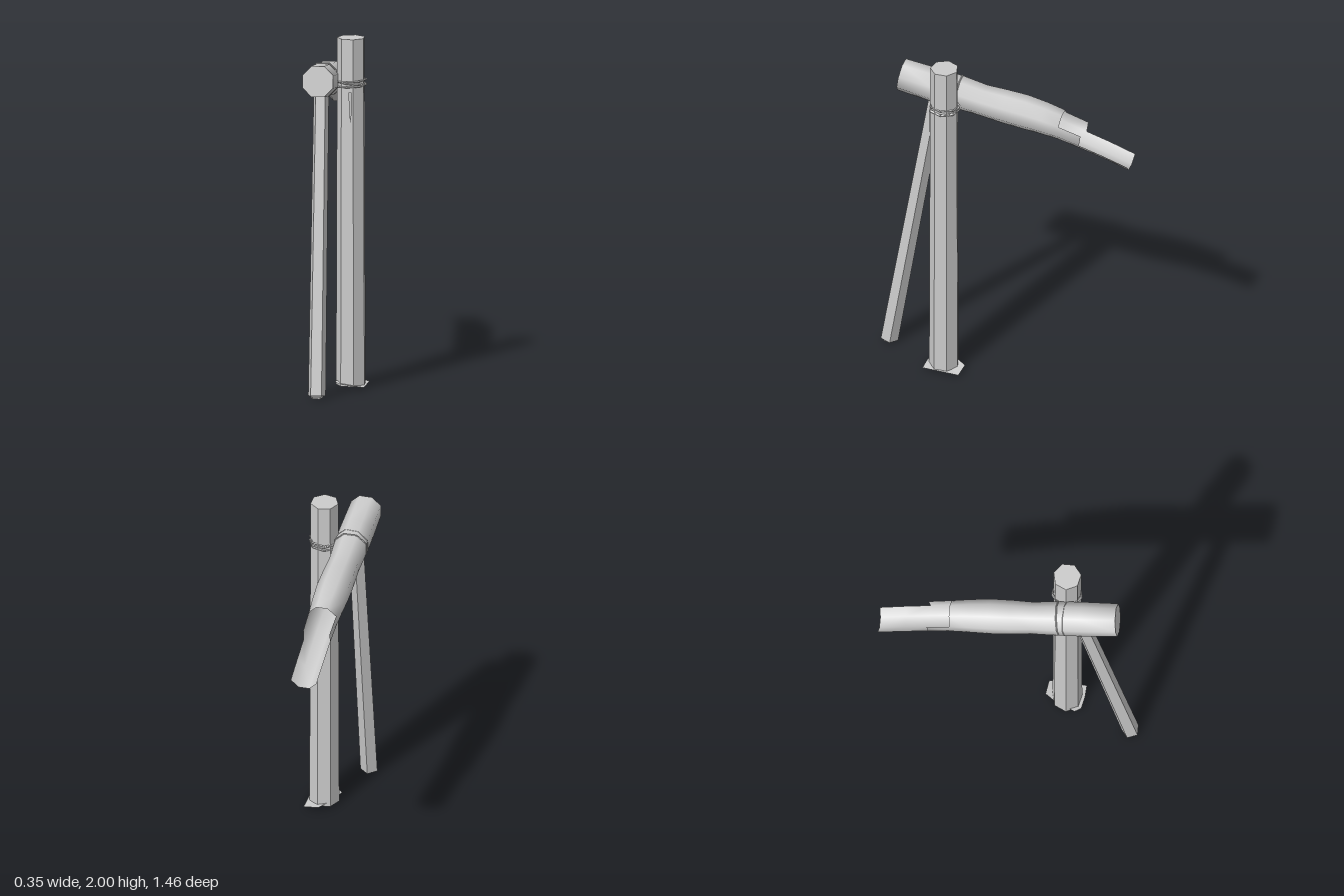
import * as THREE from 'three';

const flat = new THREE.MeshStandardMaterial({ color: 0xcccccc, flatShading: true });
const smooth = new THREE.MeshStandardMaterial({ color: 0xcccccc, side: THREE.DoubleSide });
const thin = new THREE.MeshStandardMaterial({ color: 0xcccccc, flatShading: true, side: THREE.DoubleSide });
const V = (x, y, z) => new THREE.Vector3(x, y, z);

function add(group, name, geometry, material) {
  const mesh = new THREE.Mesh(geometry, material);
  mesh.name = name;
  group.add(mesh);
  return mesh;
}

// Straight faceted pole between two points
function pole(group, name, a, b, rBottom, rTop, sides, turn) {
  const dir = b.clone().sub(a);
  const geo = new THREE.CylinderGeometry(rTop, rBottom, dir.length(), sides);
  geo.rotateY(turn);
  const mesh = add(group, name, geo, flat);
  mesh.position.copy(a).add(b).multiplyScalar(0.5);
  mesh.quaternion.setFromUnitVectors(V(0, 1, 0), dir.normalize());
  return mesh;
}

// Spout stations: z, centre height, radius
const SPOUT_X = -0.077;
const stations = [
  [0.62, 1.8, 0.093], [0.42, 1.766, 0.097], [0.28, 1.746, 0.096], [0.14, 1.719, 0.09],
  [0.02, 1.703, 0.096], [-0.1, 1.688, 0.098], [-0.22, 1.667, 0.092], [-0.32, 1.643, 0.086],
  [-0.45, 1.604, 0.083], [-0.59, 1.56, 0.082], [-0.735, 1.508, 0.081],
];

// Corner of the octagonal spout section, leaning with the axis
function spoutPoint([z, y, r], i, lean = 0.15) {
  const a = -Math.PI / 2 + (i + 0.5) * Math.PI / 4;
  const up = r * Math.sin(a);
  return V(SPOUT_X + r * Math.cos(a), y + up, z - lean * up);
}

function spoutGeometry() {
  const pos = [], index = [];
  stations.forEach((s) => {
    for (let i = 0; i < 8; i++) pos.push(...spoutPoint(s, i).toArray());
  });
  // Corner i runs from bottom right, counter-clockwise; the last panel is the bottom one
  const halfPanels = [7, 0, 6, 1, 5];
  const troughPanels = [7, 0, 6];
  for (let k = 0; k < stations.length - 1; k++) {
    const panels = k < 7 ? [0, 1, 2, 3, 4, 5, 6, 7] : k < 8 ? halfPanels : troughPanels;
    for (const i of panels) {
      const a = k * 8 + i, b = k * 8 + (i + 1) % 8;
      index.push(a, b, a + 8, b, b + 8, a + 8);
    }
  }
  const geo = new THREE.BufferGeometry();
  geo.setAttribute('position', new THREE.Float32BufferAttribute(pos, 3));
  geo.setIndex(index);
  geo.computeVertexNormals();
  // Outward winding check against the first top panel is fixed by construction
  return geo;
}

// Flat polygon as a fan around its first corner
function fan(points) {
  const pos = [];
  for (let i = 1; i < points.length - 1; i++) {
    pos.push(...points[0].toArray(), ...points[i].toArray(), ...points[i + 1].toArray());
  }
  const geo = new THREE.BufferGeometry();
  geo.setAttribute('position', new THREE.Float32BufferAttribute(pos, 3));
  geo.computeVertexNormals();
  return geo;
}

export function createModel() {
  const group = new THREE.Group();
  const px = 0.085, pz = 0.32;

  // Seven-sided upright post, with a face toward +x
  pole(group, 'post', V(px, 0.012, pz), V(px, 2, pz), 0.086, 0.08, 7, Math.PI / 2 + Math.PI / 7);

  // Five-sided leaning prop, with a face to the front
  pole(group, 'prop', V(SPOUT_X, 0.014, 0.693), V(SPOUT_X, 1.73, 0.41), 0.052, 0.045, 5, Math.PI / 5);

  // Hollow spout cut back in two steps to an open trough
  add(group, 'spout', spoutGeometry(), smooth);
  const rim = [];
  for (let i = 0; i < 8; i++) rim.push(spoutPoint(stations[0], i));
  add(group, 'spoutEndCap', fan(rim), thin);

  // Cord wound around the post
  [[1.728, 0.05], [1.745, -0.09], [1.757, 0.06]].forEach(([y, tilt]) => {
    const geo = new THREE.TorusGeometry(0.085, 0.005, 4, 7);
    geo.rotateX(Math.PI / 2).rotateY(Math.PI / 7 + Math.PI).rotateZ(tilt);
    add(group, 'postCord', geo, flat).position.set(px, y, pz);
  });

  // Cord wound around the spout, mostly sunk into it
  [[0.285, 0.04], [0.325, -0.06]].forEach(([z, turn]) => {
    const geo = new THREE.TorusGeometry(0.095, 0.004, 4, 8);
    geo.rotateZ(Math.PI / 8).rotateX(-0.15).rotateY(turn);
    add(group, 'spoutCord', geo, flat).position.set(SPOUT_X, 1.752, z);
  });

  // Loose end of the cord hanging down the front of the post
  add(group, 'cordEnd', fan([
    V(0.076, 1.7, 0.409), V(0.086, 1.52, 0.407), V(0.098, 1.6, 0.407), V(0.095, 1.7, 0.409),
  ]), thin);

  // Thin uneven mat under the post
  add(group, 'baseMat', fan([
    V(0.085, 0.022, 0.32), V(-0.005, 0.038, 0.37), V(0.02, 0.03, 0.405), V(0.09, 0.022, 0.42), V(0.165, 0.014, 0.425),
    V(0.175, 0.016, 0.32), V(0.178, 0.012, 0.21), V(0.09, 0.028, 0.197), V(0.05, 0.034, 0.25), V(-0.005, 0.038, 0.37),
  ]), thin);

  // Foot chip of the prop resting on the ground
  const foot = new THREE.CylinderGeometry(0.04, 0.034, 0.014, 5);
  foot.rotateY(Math.PI / 5);
  add(group, 'propFoot', foot, flat).position.set(SPOUT_X, 0.007, 0.693);

  return group;
}
